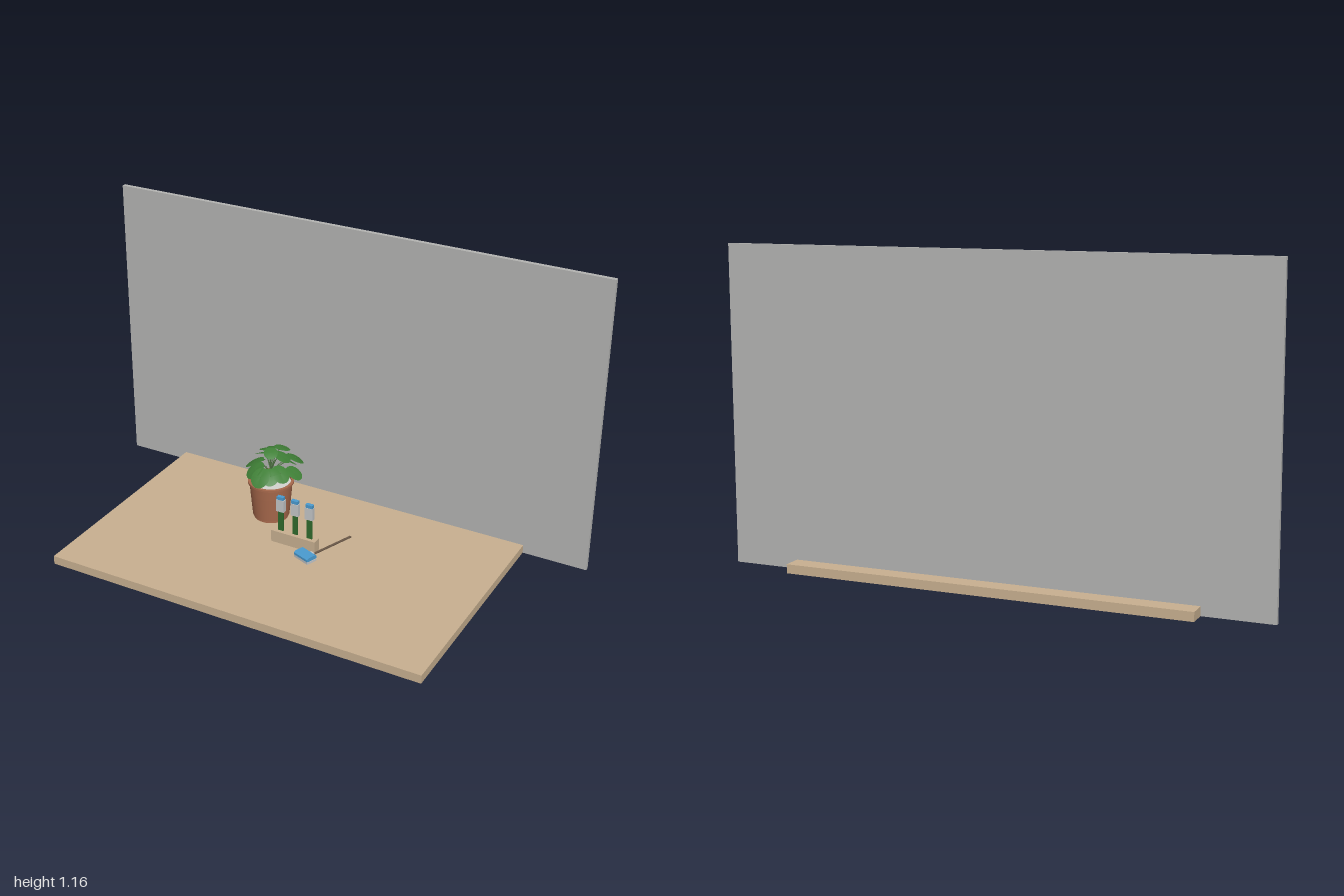
import * as THREE from 'three';

const mat = (name, color, double = false) => {
  const m = new THREE.MeshStandardMaterial({ color });
  m.name = name;
  if (double) m.side = THREE.DoubleSide;
  return m;
};

export function createModel() {
  const wood = mat('wood', 0xc8b090);
  const wallGrey = mat('wall grey', 0xb4b4b2);
  const terracotta = mat('terracotta', 0xa8694c, true);
  const pebble = mat('pale soil', 0xd4d4d0);
  const leafGreen = mat('leaf green', 0x3f7f36, true);
  const stemGreen = mat('stem green', 0x4c7040);
  const boardGreen = mat('probe green', 0x2f6a2c);
  const casing = mat('casing grey', 0xc4c6c8);
  const blue = mat('blue', 0x4a9bd0);
  const probeBrown = mat('dark brown', 0x6b5848);

  const model = new THREE.Group();
  const add = (parent, name, geometry, material, x = 0, y = 0, z = 0) => {
    const m = new THREE.Mesh(geometry, material);
    m.name = name;
    m.position.set(x, y, z);
    parent.add(m);
    return m;
  };
  const box = (w, h, d) => new THREE.BoxGeometry(w, h, d);

  // Tabletop and back wall
  add(model, 'tabletop', box(1.5, 0.033, 1), wood, 0, 0.0165, 0);
  add(model, 'backWall', box(2, 1.157, 0.017), wallGrey, 0, 0.5785, -0.422);

  // Potted plant, built around its own axis
  const plant = new THREE.Group();
  plant.name = 'pottedPlant';
  plant.position.set(-0.19, 0.033, -0.15);
  model.add(plant);
  const profile = [
    [0, 0], [0.066, 0], [0.066, 0.011], [0.071, 0.011], [0.0745, 0.05], [0.079, 0.1],
    [0.0795, 0.105], [0.083, 0.149], [0.089, 0.149], [0.089, 0.157], [0.078, 0.157], [0.075, 0.135],
  ];
  // Doubled points keep the pot's edges crisp
  const points = profile.flatMap(([r, y]) => [new THREE.Vector2(r, y), new THREE.Vector2(r, y)]);
  add(plant, 'pot', new THREE.LatheGeometry(points, 40), terracotta);
  add(plant, 'soil', new THREE.CylinderGeometry(0.077, 0.075, 0.006, 40), pebble, 0, 0.146, 0);
  add(plant, 'trunk', new THREE.CylinderGeometry(0.004, 0.005, 0.05, 8), stemGreen, 0, 0.17, 0);

  // Rounded leaf, slightly domed and folded along its middle
  const leafGeometry = new THREE.SphereGeometry(1, 18, 4, 0, Math.PI * 2, 0, Math.PI / 2);
  const p = leafGeometry.attributes.position;
  for (let i = 0; i < p.count; i++) {
    const x = p.getX(i), z = p.getZ(i);
    p.setXYZ(i, x * 0.9, -0.14 * (x * x + z * z) + 0.08 * Math.abs(x), z);
  }
  leafGeometry.computeVertexNormals();

  // Each leaf: x, height, z, size, outward tilt
  const leaves = [
    [-0.062, 0.232, -0.06, 0.042, 0.5], [-0.016, 0.262, -0.072, 0.038, 0.45],
    [0.07, 0.238, -0.067, 0.038, 0.5], [0.103, 0.215, 0, 0.036, 0.55],
    [0.062, 0.215, 0.035, 0.04, 0.6], [0, 0.205, 0.082, 0.042, 0.75],
    [-0.04, 0.215, 0.054, 0.042, 0.65], [-0.068, 0.222, 0.008, 0.04, 0.5],
    [0.026, 0.283, -0.045, 0.033, 0.3], [0.045, 0.265, -0.01, 0.036, 0.45],
    [-0.03, 0.275, -0.025, 0.034, 0.35], [0.015, 0.29, 0.026, 0.03, 0.4],
    [0.03, 0.206, 0.06, 0.038, 0.6], [-0.08, 0.2, -0.03, 0.038, 0.55],
    [0.035, 0.207, -0.085, 0.034, 0.6],
  ];
  const base = new THREE.Vector3(0, 0.185, 0);
  for (const [x, y, z, size, tilt] of leaves) {
    const tip = new THREE.Vector3(x, y, z);
    const leaf = add(plant, 'leaf', leafGeometry, leafGreen, x, y, z);
    leaf.scale.setScalar(size);
    leaf.rotation.set(tilt, Math.atan2(x, z), 0, 'YXZ');
    const bend = new THREE.Vector3(x * 0.4, y + 0.005, z * 0.4);
    const curve = new THREE.QuadraticBezierCurve3(base, bend, tip);
    add(plant, 'leafStalk', new THREE.TubeGeometry(curve, 8, 0.002, 6), stemGreen);
  }

  // Wooden stand with three upright probes
  const stand = new THREE.Group();
  stand.name = 'probeStand';
  model.add(stand);
  add(stand, 'standBlock', box(0.186, 0.048, 0.034), wood, -0.002, 0.057, 0);
  for (const x of [-0.062, -0.001, 0.06]) {
    const probe = new THREE.Group();
    probe.name = 'uprightProbe';
    probe.position.x = x;
    stand.add(probe);
    add(probe, 'probeBlade', box(0.022, 0.09, 0.005), boardGreen, 0, 0.124, 0);
    add(probe, 'probeCasing', box(0.032, 0.05, 0.018), casing, 0, 0.19, 0);
    add(probe, 'probeCap', box(0.028, 0.014, 0.015), blue, 0, 0.221, 0);
  }

  // Handheld meter lying on the table, with its long thin probe
  const meter = new THREE.Group();
  meter.name = 'handheldMeter';
  meter.position.set(0.076, 0.033, 0.063);
  meter.rotation.y = -0.36;
  model.add(meter);
  add(meter, 'meterBase', box(0.076, 0.01, 0.046), casing, 0, 0.005, 0);
  const s = new THREE.Shape();
  s.moveTo(-0.023, 0);
  s.lineTo(0.023, 0);
  s.lineTo(0.023, 0.009);
  s.lineTo(0.016, 0.015);
  s.lineTo(-0.019, 0.015);
  s.lineTo(-0.023, 0.011);
  const top = new THREE.ExtrudeGeometry(s, { depth: 0.074, bevelEnabled: false });
  top.translate(0, 0, -0.037).rotateY(-Math.PI / 2);
  add(meter, 'meterTop', top, blue, 0, 0.01, 0);
  add(meter, 'meterNeck', box(0.02, 0.01, 0.016), casing, 0, 0.007, -0.03);
  add(meter, 'meterProbe', box(0.009, 0.004, 0.2), probeBrown, 0, 0.003, -0.128);

  return model;
}
